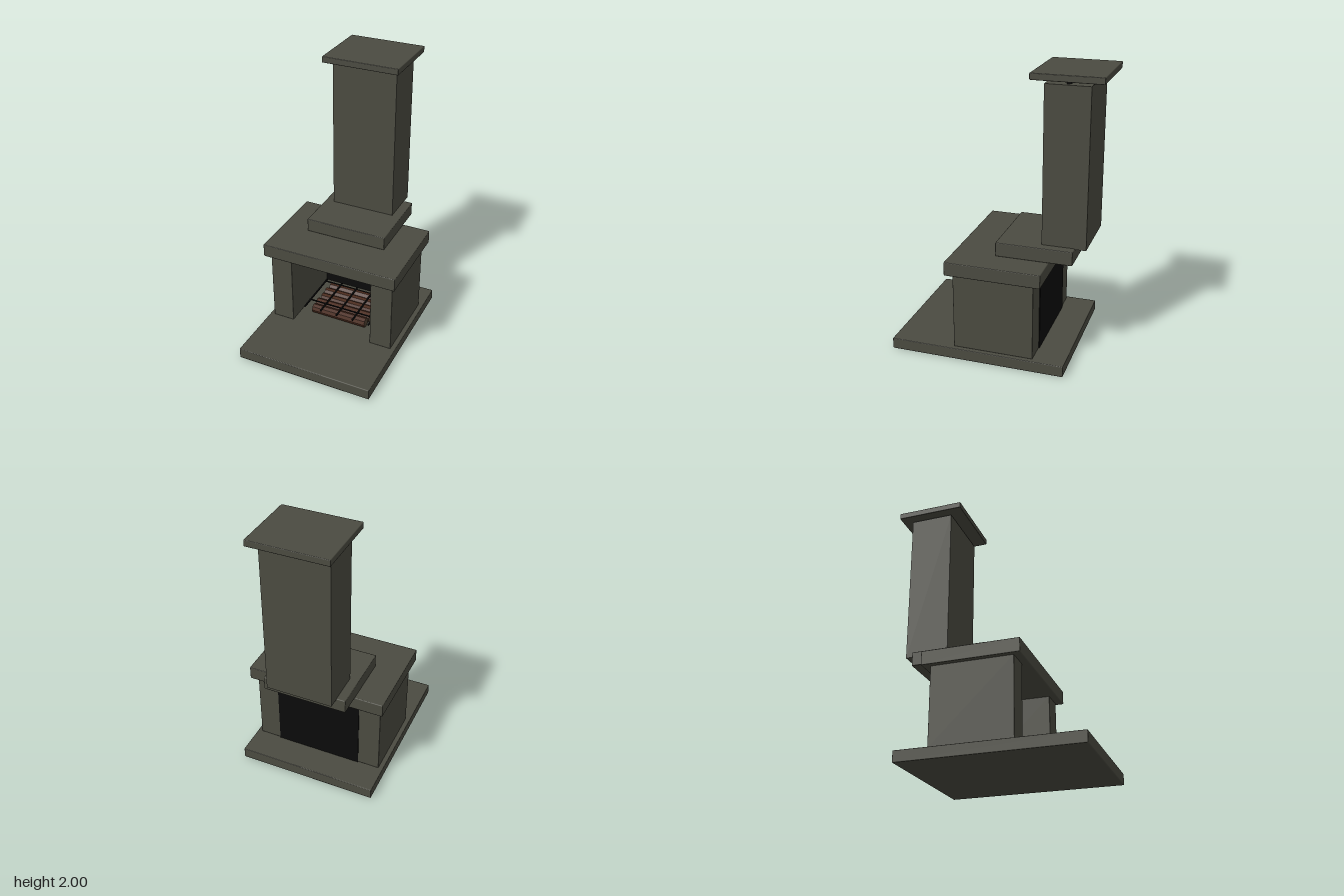
import * as THREE from 'three';
import { RoundedBoxGeometry } from 'three/addons/geometries/RoundedBoxGeometry.js';

export function createModel() {
  const group = new THREE.Group();
  const material = (name, color) => {
    const m = new THREE.MeshStandardMaterial({ color });
    m.name = name;
    return m;
  };
  const stone = material('stone', 0x4b4b41);
  const soot = material('soot', 0x0b0b0b);
  const bark = material('bark', 0x4a2a1c);
  const wood = material('cutWood', 0x4f4030);

  // Box given by its limits on each axis, with an optional small edge bevel
  const box = (name, mat, [x0, x1], [y0, y1], [z0, z1], bevel = 0) => {
    const size = [x1 - x0, y1 - y0, z1 - z0];
    const geometry = bevel
      ? new RoundedBoxGeometry(...size, 1, bevel)
      : new THREE.BoxGeometry(...size);
    const mesh = new THREE.Mesh(geometry, mat);
    mesh.name = name;
    mesh.position.set((x0 + x1) / 2, (y0 + y1) / 2, (z0 + z1) / 2);
    group.add(mesh);
    return mesh;
  };

  // Hearth slab and firebox
  box('hearthSlab', stone, [-0.506, 0.506], [0, 0.08], [-0.542, 0.706], 0.006);
  box('leftPillar', stone, [0.31, 0.473], [0.08, 0.632], [-0.32, 0.25], 0.004);
  box('rightPillar', stone, [-0.473, -0.31], [0.08, 0.632], [-0.32, 0.25], 0.004);
  box('fireboxBack', soot, [-0.315, 0.315], [0.078, 0.635], [-0.326, -0.317]);

  // Stepped mantel
  box('mantel', stone, [-0.506, 0.506], [0.632, 0.73], [-0.375, 0.3], 0.006);
  box('upperMantel', stone, [-0.304, 0.302], [0.73, 0.83], [-0.538, 0.002], 0.006);

  // Chimney, cap and the posts that lift the cap
  box('chimneyStack', stone, [-0.239, 0.235], [0.824, 1.93], [-0.614, -0.307]);
  box('chimneyCap', stone, [-0.279, 0.277], [1.955, 2], [-0.706, -0.221], 0.005);
  for (const x of [-0.193, 0.187]) {
    box('capPost', soot, [x - 0.014, x + 0.014], [1.925, 1.958], [-0.474, -0.446]);
  }

  // Row of low-poly logs lying across the firebox
  for (let i = 0; i < 5; i++) {
    const geometry = new THREE.CylinderGeometry(0.034, 0.037, 0.43 + 0.01 * (i % 2), 8);
    const barkFlat = bark;
    barkFlat.flatShading = true;
    const log = new THREE.Mesh(geometry, [barkFlat, wood, wood]);
    log.name = 'log';
    log.rotation.set(i * 0.7, 0, Math.PI / 2);
    log.position.set(0, 0.121, 0.1 - i * 0.073);
    group.add(log);
  }

  // Iron grate bars
  for (let i = 0; i < 5; i++) {
    const x = -0.26 + i * 0.13;
    box('grateBar', soot, [x - 0.005, x + 0.005], [0.153, 0.163], [-0.22, 0.16]);
  }
  for (const z of [-0.2, 0.06]) {
    box('grateCrossbar', soot, [-0.27, 0.27], [0.15, 0.158], [z - 0.004, z + 0.004]);
  }
  return group;
}
